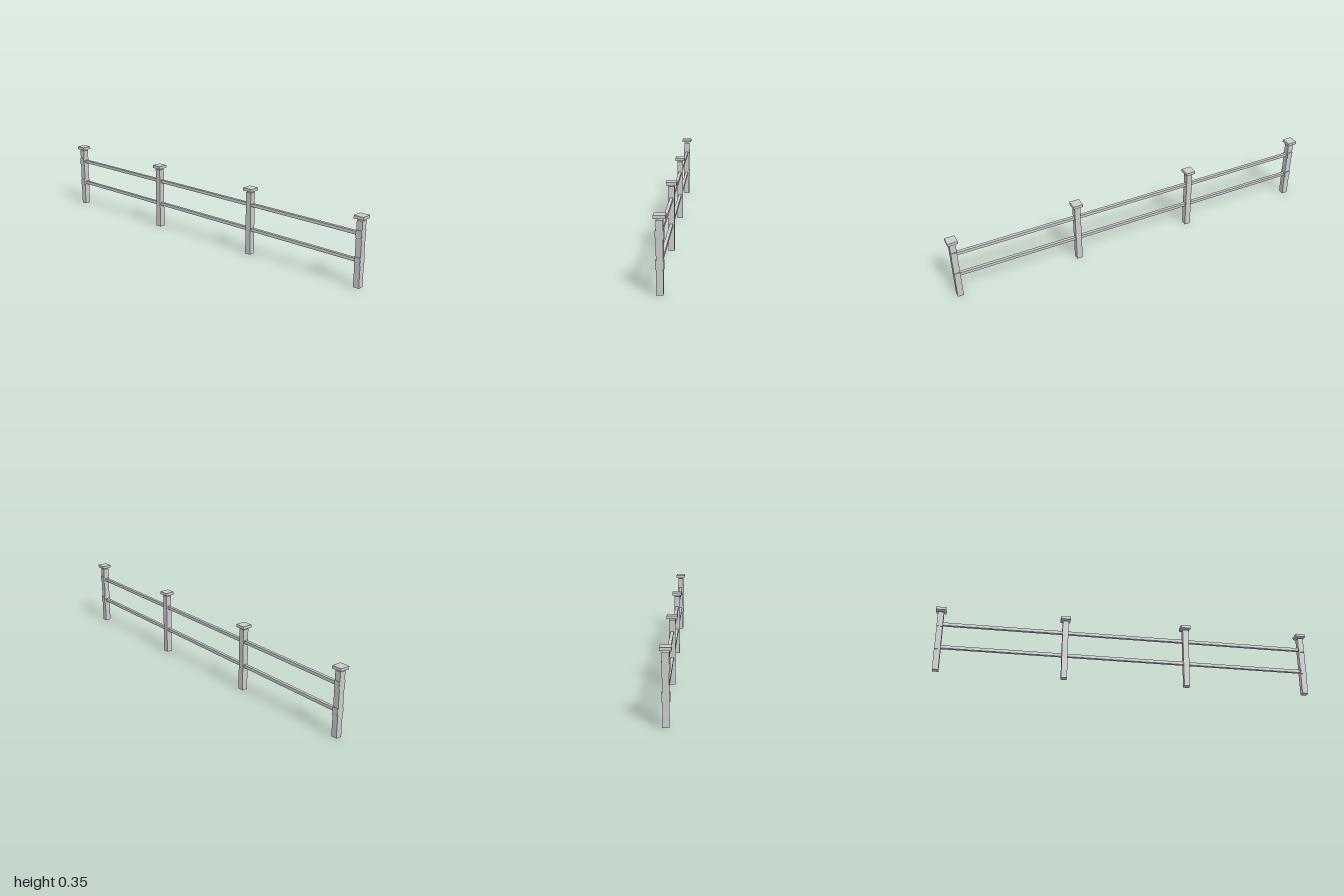
import * as THREE from 'three';

export function createModel() {
  const group = new THREE.Group();
  group.name = 'railFence';
  const material = new THREE.MeshStandardMaterial({ color: 0xcccccc, flatShading: true });

  const addBox = (name, w, h, d, x, y) => {
    const mesh = new THREE.Mesh(new THREE.BoxGeometry(w, h, d), material);
    mesh.name = name;
    mesh.position.set(x, y, 0);
    group.add(mesh);
  };

  const end = 0.974;
  const railHeights = [0.131, 0.261];

  // Four evenly spaced posts, each with a cap raised slightly above it
  for (let i = 0; i < 4; i++) {
    const x = -end + (2 * end * i) / 3;
    addBox('post', 0.031, 0.326, 0.031, x, 0.163);
    addBox('postCap', 0.052, 0.015, 0.052, x, 0.3415);
  }

  // Two slim rails, held by square blocks at the end posts
  for (const y of railHeights) {
    addBox('rail', 2 * end, 0.016, 0.016, 0, y);
    for (const side of [-1, 1]) {
      addBox('railBlock', 0.03, 0.038, 0.0385, side * end, y);
    }
  }

  return group;
}
